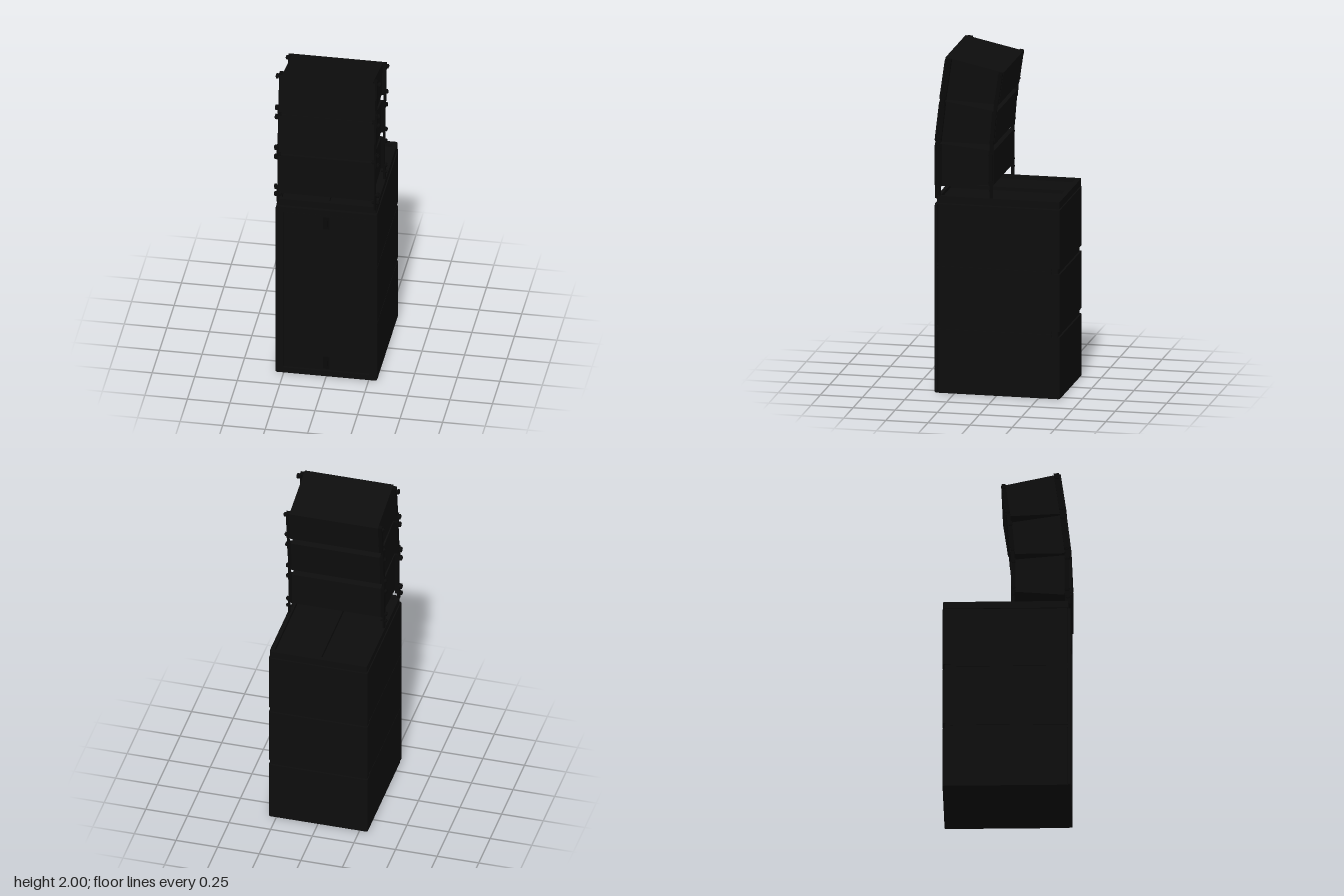
import * as THREE from 'three';

const black = new THREE.MeshStandardMaterial({ color: 0x0d0d0d });
const steel = new THREE.MeshStandardMaterial({ color: 0x090909 });

function add(parent, name, geo, mat = black) {
  const m = new THREE.Mesh(geo, mat);
  m.name = name;
  parent.add(m);
  return m;
}

function box(parent, name, w, h, d, x, y, z, mat = black) {
  const m = add(parent, name, new THREE.BoxGeometry(w, h, d), mat);
  m.position.set(x, y, z);
  return m;
}

// rectangle with rounded corners, as Shape or Path
function roundRect(x0, y0, x1, y1, r, Type = THREE.Shape) {
  const s = new Type();
  s.moveTo(x0 + r, y0);
  s.lineTo(x1 - r, y0).absarc(x1 - r, y0 + r, r, -Math.PI / 2, 0);
  s.lineTo(x1, y1 - r).absarc(x1 - r, y1 - r, r, 0, Math.PI / 2);
  s.lineTo(x0 + r, y1).absarc(x0 + r, y1 - r, r, Math.PI / 2, Math.PI);
  s.lineTo(x0, y0 + r).absarc(x0 + r, y0 + r, r, Math.PI, Math.PI * 1.5);
  return s;
}

const extrude = (shape, depth) =>
  new THREE.ExtrudeGeometry(shape, { depth, bevelEnabled: false, curveSegments: 5 });

// slab standing on y0, drawn in plan (shape v = -z)
function slab(parent, name, shape, y0, y1) {
  return add(parent, name, extrude(shape, y1 - y0).rotateX(-Math.PI / 2).translate(0, y0, 0));
}

// prism from a [z, y] side profile, spanning -halfW..halfW in x
function prism(parent, name, pts, halfW, mat = black) {
  const s = new THREE.Shape(pts.map(([z, y]) => new THREE.Vector2(z, y)));
  return add(parent, name, extrude(s, halfW * 2).rotateY(-Math.PI / 2).translate(halfW, 0, 0), mat);
}

// flat bar between two [z, y] points at a given x
function bar(parent, name, a, b, x, w, d) {
  const dz = b[0] - a[0], dy = b[1] - a[1];
  const m = box(parent, name, w, Math.hypot(dz, dy), d, x, (a[1] + b[1]) / 2, (a[0] + b[0]) / 2, steel);
  m.rotation.x = Math.atan2(dz, dy);
}

// locking pin lying along x, with a wider head on the outside
function pin(parent, side, x1, z, y, r) {
  const g = new THREE.Group();
  g.name = 'lockingPin';
  for (const [radius, from, to] of [[r * 0.6, 0.265, x1], [r, x1 - 0.014, x1 - 0.003]]) {
    const c = add(g, 'pinPart', new THREE.CylinderGeometry(radius, radius, to - from, 12).rotateZ(Math.PI / 2), steel);
    c.position.set(side * (from + to) / 2, y, z);
  }
  parent.add(g);
}

const lerp = (a, b, t) => [a[0] + (b[0] - a[0]) * t, a[1] + (b[1] - a[1]) * t];

function bassStack() {
  const g = new THREE.Group();
  g.name = 'bassStack';
  // three cabinets parted by shallow seams
  const full = roundRect(-0.297, -0.352, 0.297, 0.375, 0.012);
  const inset = roundRect(-0.293, -0.352, 0.293, 0.364, 0.012);
  const cuts = [0, 0.368, 0.402, 0.743, 0.777, 1.128];
  for (let i = 0; i < 5; i++)
    slab(g, i % 2 ? 'seam' : 'bassCabinet', i % 2 ? inset : full, cuts[i], cuts[i + 1]);
  // cabinet sides reach into the seams, leaving a fine joint line
  for (const y of [0.385, 0.76]) for (const s of [-1, 1])
    for (const e of [-1, 1]) box(g, 'sideLip', 0.006, 0.014, 0.68, s * 0.294, y + e * 0.01, 0.012);
  // front surround and grille
  const surround = roundRect(-0.297, 0, 0.297, 1.128, 0.008);
  surround.holes.push(roundRect(-0.255, 0.035, 0.255, 1.095, 0.008, THREE.Path));
  add(g, 'frontSurround', extrude(surround, 0.014)).position.z = 0.352;
  box(g, 'grille', 0.5, 1.05, 0.008, 0, 0.565, 0.355);
  for (const y of [0.09, 1.04]) {
    box(g, 'latchPlate', 0.036, 0.08, 0.008, 0, y, 0.361, steel);
    box(g, 'latch', 0.018, 0.04, 0.004, 0, y, 0.365, steel);
  }
  return g;
}

function baseFrame() {
  const g = new THREE.Group();
  g.name = 'baseFrame';
  for (const s of [-1, 1]) box(g, 'runner', 0.02, 0.008, 0.7, s * 0.24, 1.131, -0.01);
  const outline = () => roundRect(-0.293, -0.356, 0.293, 0.373, 0.012);
  slab(g, 'framePlate', outline(), 1.134, 1.155);
  const rim = outline();
  for (const [a, b] of [[-0.268, -0.012], [0.012, 0.268]])
    rim.holes.push(roundRect(a, -0.335, b, 0.345, 0.006, THREE.Path));
  slab(g, 'frameRim', rim, 1.155, 1.176);
  return g;
}

// corners of each array cabinet as [z, y]: front top, back top, back bottom, front bottom
const cabinets = [
  [[0.371, 1.484], [0.022, 1.454], [0.022, 1.252], [0.371, 1.226]],
  [[0.343, 1.741], [0.002, 1.69], [0.018, 1.492], [0.372, 1.494]],
  [[0.308, 2.0], [-0.036, 1.926], [-0.008, 1.732], [0.344, 1.748]],
];

function arrayCabinet([ft, bt, bb, fb], i) {
  const g = new THREE.Group();
  g.name = 'arrayCabinet' + (i + 1);
  prism(g, 'cabinetBody', [ft, bt, bb, fb], 0.266);
  // wider front grille over the body
  prism(g, 'frontGrille', [lerp(ft, fb, 0.04), lerp(lerp(ft, bt, 0.05), fb, 0.05),
    lerp(lerp(fb, bb, 0.05), ft, 0.05), lerp(fb, ft, 0.04)], 0.281);
  for (const s of [-1, 1]) {
    // rigging rails along the front and back edges of each side
    const t = 0.07, u = 0.96;
    bar(g, 'frontRail', lerp(fb, bb, t), lerp(ft, bt, t), s * 0.277, 0.022, 0.03);
    bar(g, 'backRail', lerp(fb, bb, u), lerp(ft, bt, u), s * 0.277, 0.022, 0.024);
    for (const v of [0.1, 0.9]) {
      const f = lerp(lerp(fb, bb, t), lerp(ft, bt, t), v);
      const b = lerp(lerp(fb, bb, u), lerp(ft, bt, u), v);
      pin(g, s, 0.309, f[0], f[1], 0.016);
      pin(g, s, 0.303, b[0], b[1], 0.013);
    }
  }
  return g;
}

function links() {
  const g = new THREE.Group();
  g.name = 'rigging';
  for (const s of [-1, 1]) {
    // legs down to the base frame
    bar(g, 'frontLeg', [0.35, 1.16], [0.35, 1.26], s * 0.285, 0.012, 0.032);
    bar(g, 'backLeg', [0.033, 1.16], [0.033, 1.28], s * 0.285, 0.012, 0.02);
    pin(g, s, 0.309, 0.35, 1.205, 0.014);
    pin(g, s, 0.303, 0.033, 1.225, 0.01);
    // links across the gaps between cabinets
    for (let i = 0; i < 2; i++) {
      const [ft, bt] = cabinets[i], [, , bb, fb] = cabinets[i + 1];
      bar(g, 'backLink', [bt[0] + 0.012, bt[1] - 0.04], [bb[0] + 0.012, bb[1] + 0.04], s * 0.284, 0.012, 0.02);
      bar(g, 'frontHinge', [ft[0] - 0.022, ft[1] - 0.04], [fb[0] - 0.022, fb[1] + 0.04], s * 0.288, 0.01, 0.026);
    }
  }
  return g;
}

export function createModel() {
  const model = new THREE.Group();
  model.name = 'speakerStack';
  model.add(bassStack(), baseFrame(), links());
  cabinets.forEach((c, i) => model.add(arrayCabinet(c, i)));
  return model;
}
